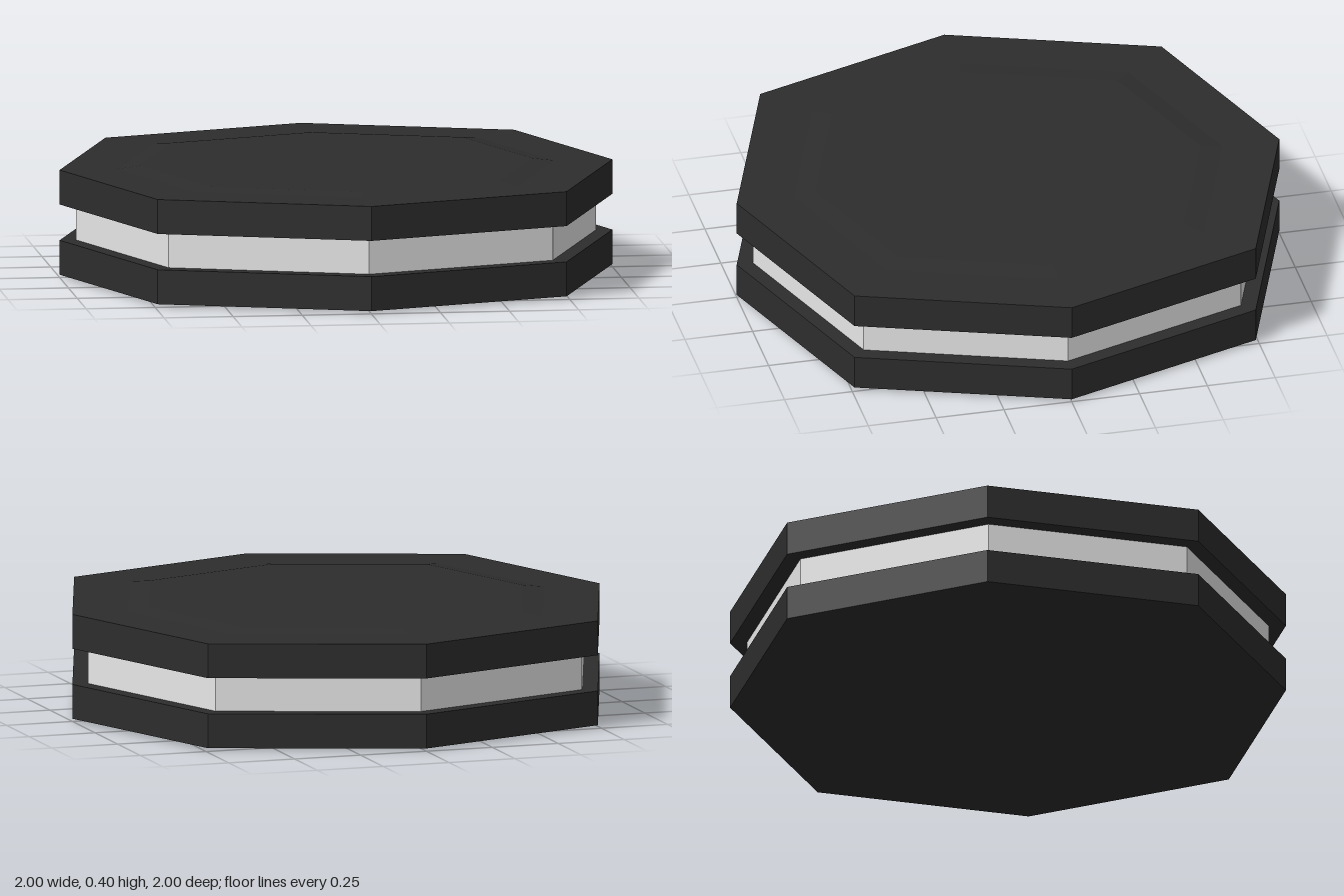
import * as THREE from 'three';

const biscuit = new THREE.MeshStandardMaterial({ color: 0x2d2d2d, flatShading: true });
biscuit.name = 'dark biscuit';
const cream = new THREE.MeshStandardMaterial({ color: 0xffffff, flatShading: true });
cream.name = 'white cream';

// Eight-sided lathe; profile is [radius, y] from bottom to top.
// The diagonal corners sit slightly further out than those on the axes.
function octagon(name, profile, material) {
  const points = profile.map(([r, y]) => new THREE.Vector2(r, y));
  const geometry = new THREE.LatheGeometry(points, 8);
  const pos = geometry.attributes.position;
  for (let i = 0; i < pos.count; i++) {
    const side = Math.floor(i / points.length);
    const k = side % 2 ? 1.046 : 1;
    pos.setXYZ(i, pos.getX(i) * k, pos.getY(i), pos.getZ(i) * k);
  }
  geometry.computeVertexNormals();
  const mesh = new THREE.Mesh(geometry, material);
  mesh.name = name;
  return mesh;
}

export function createModel() {
  const group = new THREE.Group();
  group.name = 'sandwichBiscuit';

  // Wafers, each with a shallow raised panel on its outer face
  group.add(octagon('bottomWafer',
    [[0, 0], [0.71, 0], [0.79, 0.01], [1, 0.01], [1, 0.135], [0, 0.135]], biscuit));
  group.add(octagon('topWafer',
    [[0, 0.265], [1, 0.265], [1, 0.39], [0.79, 0.39], [0.71, 0.4], [0, 0.4]], biscuit));

  // Filling
  group.add(octagon('creamFilling', [[0.94, 0.135], [0.94, 0.265]], cream));
  return group;
}
